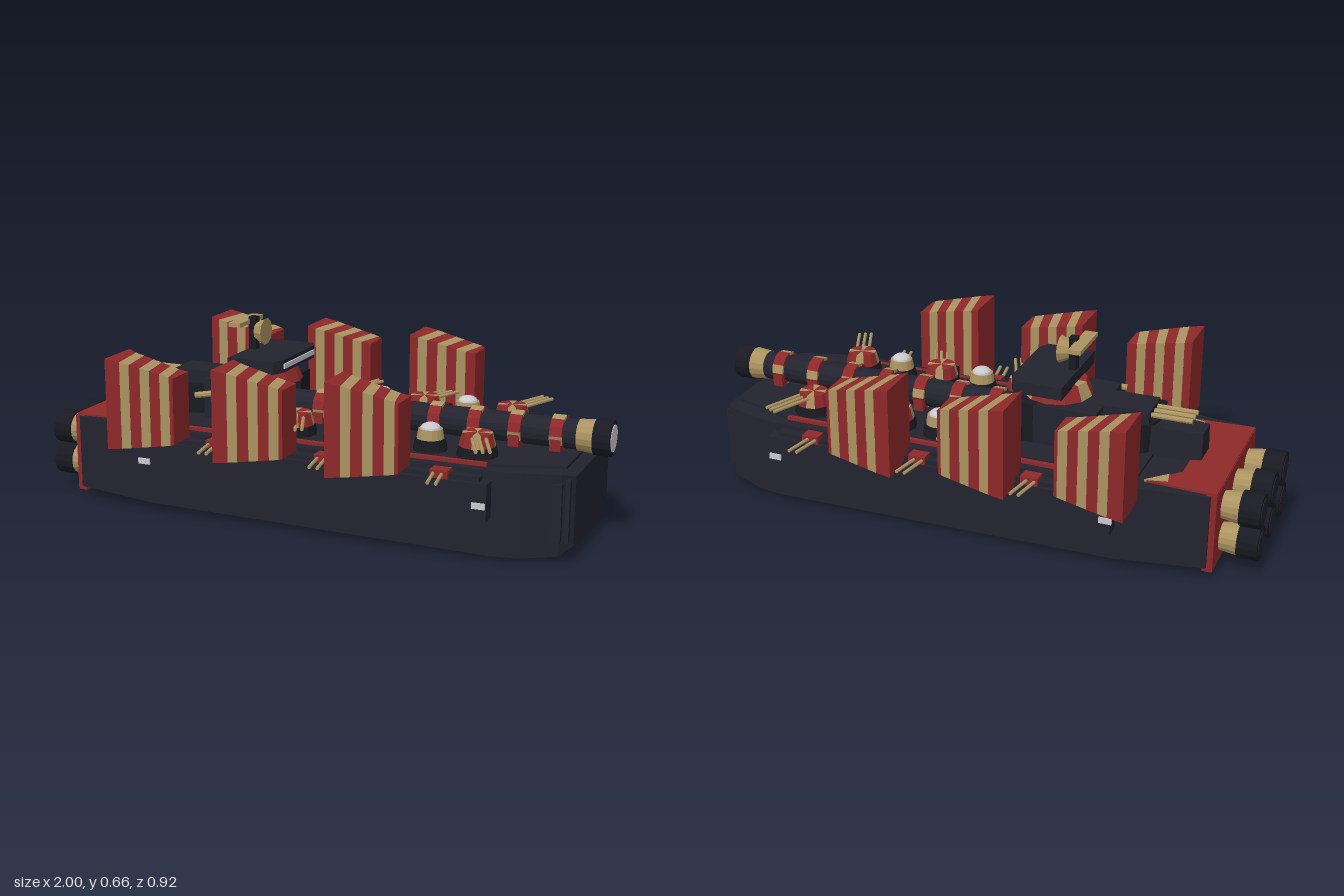
import * as THREE from 'three';

const mat = (name, color) => Object.assign(new THREE.MeshStandardMaterial({ color }), { name });

export function createModel() {
  const navy = mat('hullNavy', 0x22232e), black = mat('darkTrim', 0x191a21);
  const red = mat('red', 0x8e2829), tan = mat('tan', 0xab9361), white = mat('paleGlass', 0xc9c9d0);
  const root = new THREE.Group();
  root.name = 'landCruiser';

  // Faceted mesh from any geometry
  function add(name, geo, material, x = 0, y = 0, z = 0, parent = root) {
    const g = geo.index ? geo.toNonIndexed() : geo;
    g.computeVertexNormals();
    const m = new THREE.Mesh(g, material);
    m.name = name;
    m.position.set(x, y, z);
    parent.add(m);
    return m;
  }
  // Box from its limits
  const box = (name, material, x0, x1, y0, y1, z0, z1, parent = root) =>
    add(name, new THREE.BoxGeometry(x1 - x0, y1 - y0, z1 - z0), material, (x0 + x1) / 2, (y0 + y1) / 2, (z0 + z1) / 2, parent);
  // Cylinder lying along x, from x0 (radius r0) to x1 (radius r1)
  const tubeX = (name, material, x0, x1, r0, r1, y, z, n = 16) =>
    add(name, new THREE.CylinderGeometry(r1, r0, x1 - x0, n).rotateZ(-Math.PI / 2), material, (x0 + x1) / 2, y, z);
  // Thin gun barrel between two points
  function barrel(name, a, b, r = 0.007, parent = root) {
    const p = new THREE.Vector3(...a), q = new THREE.Vector3(...b), d = q.clone().sub(p);
    const m = add(name, new THREE.CylinderGeometry(r, r, d.length(), 8), tan, 0, 0, 0, parent);
    m.position.copy(p).add(q).multiplyScalar(0.5);
    m.quaternion.setFromUnitVectors(new THREE.Vector3(0, 1, 0), d.normalize());
  }
  // Cylinder whose facets alternate red and tan
  function striped(rTop, rBottom, h, n, every = 3) {
    const g = new THREE.CylinderGeometry(rTop, rBottom, h, n);
    g.clearGroups();
    for (let i = 0; i < n; i++) {
      const k = i % every === 0 ? 1 : 0;
      g.addGroup(i * 6, 6, k);
      g.addGroup(n * 6 + i * 3, 3, k);
      g.addGroup(n * 9 + i * 3, 3, k);
    }
    return g;
  }
  // Closed skin over rings of [x, y, z] points
  function loft(rings) {
    const v = [], n = rings[0].length, tri = (...p) => p.forEach(q => v.push(...q));
    for (let s = 0; s + 1 < rings.length; s++) {
      const a = rings[s], b = rings[s + 1];
      for (let i = 0; i < n; i++) {
        const j = (i + 1) % n;
        tri(a[i], a[j], b[j]);
        tri(a[i], b[j], b[i]);
      }
    }
    const first = rings[0], last = rings[rings.length - 1];
    for (let i = 1; i + 1 < n; i++) {
      tri(last[0], last[i], last[i + 1]);
      tri(first[0], first[i + 1], first[i]);
    }
    const g = new THREE.BufferGeometry();
    g.setAttribute('position', new THREE.Float32BufferAttribute(v, 3));
    return g;
  }
  // Flat plate lying on the deck, outline in x and z
  const plate = (name, material, pts, y, h = 0.008) =>
    add(name, new THREE.ExtrudeGeometry(new THREE.Shape(pts.map(p => new THREE.Vector2(...p))),
      { depth: h, bevelEnabled: false }).rotateX(Math.PI / 2), material, 0, y + h, 0);

  // Hull: x, half width, chine height, keel half width, keel height, deck height
  const hull = [
    [-0.85, 0.275, 0.04, 0.17, 0.02, 0.3], [-0.55, 0.312, 0.03, 0.17, 0.012, 0.3],
    [0.69, 0.315, 0.018, 0.17, 0.003, 0.3], [0.78, 0.3, 0.018, 0.165, 0, 0.3],
    [0.9, 0.262, 0.03, 0.15, 0.02, 0.3], [0.935, 0.215, 0.055, 0.14, 0.045, 0.285],
  ];
  add('hull', loft(hull.map(([x, w, yc, wk, yk, yt]) =>
    [[x, yt, w], [x, yc, w], [x, yk, wk], [x, yk, -wk], [x, yc, -w], [x, yt, -w]])), navy);
  plate('raisedDeck', navy, [[-0.6, -0.24], [0.68, -0.27], [0.9, -0.2], [0.9, 0.2], [0.68, 0.27], [-0.6, 0.24]], 0.299, 0.011);
  box('bowStepWide', navy, 0.84, 0.905, 0.08, 0.27, -0.272, 0.272);
  box('bowStepNarrow', navy, 0.88, 0.925, 0.07, 0.28, -0.248, 0.248);

  // Stern armour and deck paint
  box('sternPlate', red, -0.87, -0.835, 0.025, 0.302, -0.268, 0.268);
  plate('sternDeckPaint', red, [[-0.868, -0.262], [-0.63, -0.25], [-0.725, -0.15], [-0.725, 0.15], [-0.63, 0.25], [-0.868, 0.262]], 0.299);
  for (const s of [1, -1])
    plate('sternDeckCorner', tan, [[-0.625, 0.252 * s], [-0.7, 0.235 * s], [-0.69, 0.185 * s]], 0.302);

  // Six engines
  for (const z of [-0.16, 0, 0.16]) for (const y of [0.105, 0.222]) {
    tubeX('engineCollar', tan, -0.935, -0.86, 0.056, 0.046, y, z);
    tubeX('engineNozzle', black, -1, -0.93, 0.06, 0.06, y, z);
    tubeX('engineBore', navy, -1.002, -0.99, 0.044, 0.044, y, z);
  }

  // Spinal cannon with striped clamps
  tubeX('cannonBarrel', navy, -0.16, 0.91, 0.05, 0.05, 0.36, 0);
  tubeX('cannonCollar', tan, 0.885, 0.945, 0.052, 0.058, 0.36, 0);
  tubeX('cannonMuzzle', black, 0.94, 0.998, 0.061, 0.061, 0.36, 0);
  tubeX('cannonLens', white, 0.99, 1, 0.046, 0.046, 0.36, 0);
  for (let i = 0; i < 7; i++) {
    const x = -0.02 + i * 0.14;
    add('cannonClamp', striped(0.061, 0.061, 0.042, 12).rotateZ(-Math.PI / 2), [red, tan], x, 0.36, 0);
    box('cannonCradle', red, x - 0.018, x + 0.018, 0.3, 0.35, -0.06, 0.06);
  }

  // Command tower
  box('towerBase', navy, -0.42, -0.2, 0.3, 0.45, -0.14, 0.14);
  for (const s of [1, -1])
    box('towerShoulder', black, -0.21, -0.14, 0.31, 0.45, s * 0.1 - 0.04, s * 0.1 + 0.04);
  add('towerNeck', striped(0.098, 0.125, 0.06, 12, 4), [red, tan], -0.24, 0.47, 0);
  plate('bridgeHead', navy, [[-0.31, -0.17], [-0.14, -0.168], [-0.12, -0.13], [-0.12, 0.13], [-0.14, 0.168], [-0.31, 0.17]], 0.496, 0.044);
  box('bridgeWindow', white, -0.121, -0.115, 0.509, 0.526, -0.122, 0.122);
  box('mast', black, -0.305, -0.278, 0.53, 0.656, -0.015, 0.015);
  add('sensorDish', new THREE.CylinderGeometry(0.048, 0.03, 0.035, 10).rotateZ(-Math.PI / 2), tan, -0.262, 0.605, 0);
  box('sensorBar', tan, -0.345, -0.3, 0.63, 0.645, -0.09, 0.09);
  // Small flank gun beside the tower
  box('flankGunMount', black, -0.35, -0.3, 0.3, 0.385, 0.16, 0.2);
  box('flankGunBody', tan, -0.345, -0.29, 0.385, 0.415, 0.165, 0.205);
  barrel('flankGunBarrel', [-0.3, 0.42, 0.165], [-0.42, 0.405, 0.205], 0.011);

  // Rear turret with triple barrels
  add('rearBlock', loft([[-0.76, 0.05], [-0.72, 0.062], [-0.4, 0.062]].map(([x, w]) =>
    [[x, 0.4, w * 0.8], [x, 0.3, w], [x, 0.3, -w], [x, 0.4, -w * 0.8]])), navy);
  add('rearTurretRing', new THREE.CylinderGeometry(0.1, 0.105, 0.1, 16), black, -0.5, 0.36, 0);
  box('rearTurretHouse', navy, -0.58, -0.4, 0.405, 0.455, -0.065, 0.065);
  for (const z of [-0.036, 0, 0.036]) barrel('rearTurretBarrel', [-0.56, 0.435, z], [-0.72, 0.435, z], 0.009);

  for (const s of [1, -1]) {
    // Side sponsons, lamps and deck edge stripes
    const zs = (a, b) => (s > 0 ? [a, b] : [-b, -a]);
    box('sponson', navy, -0.55, 0.69, 0.145, 0.27, ...zs(0.29, 0.365));
    box('sponsonRoof', navy, -0.52, 0.66, 0.27, 0.285, ...zs(0.29, 0.35));
    box('deckStripe', red, -0.52, 0.66, 0.3, 0.312, ...zs(0.262, 0.278));
    for (const x of [-0.535, 0.665]) box('sideLamp', white, x - 0.022, x + 0.022, 0.188, 0.208, ...zs(0.364, 0.371));

    // Paired sponson guns
    for (const x of [-0.27, 0.13, 0.53]) {
      box('sponsonGunMount', red, x - 0.03, x + 0.03, 0.27, 0.297, ...zs(0.3, 0.36));
      for (const d of [-0.014, 0.014])
        barrel('sponsonGunBarrel', [x + d - 0.01, 0.284, s * 0.33], [x + d + 0.012, 0.284, s * 0.46], 0.006);
    }

    // Striped armour sails: blocks tapering toward the bow
    for (const x0 of [-0.62, -0.22, 0.18]) {
      const sail = new THREE.Group();
      sail.name = 'sail';
      root.add(sail);
      const cuts = [0, 0.17, 0.31, 0.47, 0.61, 0.76, 0.9, 1];
      const ring = t => {
        const slant = t > 0 && t < 1 ? 0.012 : 0, x = x0 + 0.24 * t;
        const top = 0.57 - 0.052 * t, low = 0.256 + 0.034 * t, out = 0.46 - 0.03 * t, inn = 0.3 + 0.022 * t;
        const r = [[x + slant, top, out * s], [x + slant, low, out * s], [x - slant, low, inn * s], [x - slant, top, inn * s]];
        return s > 0 ? r : r.reverse();
      };
      for (let i = 0; i + 1 < cuts.length; i++)
        add('sailStripe', loft([ring(cuts[i]), ring(cuts[i + 1])]), i % 2 ? tan : red, 0, 0, 0, sail);
      box('sailStrut', black, x0 + 0.08, x0 + 0.16, 0.27, 0.33, ...zs(0.27, 0.34));
    }

    // Deck turrets with triple barrels swung outward and forward
    for (const x of [-0.04, 0.28, 0.6]) {
      const turret = new THREE.Group();
      turret.name = 'deckTurret';
      turret.position.set(x, 0, 0.19 * s);
      root.add(turret);
      add('turretRing', new THREE.CylinderGeometry(0.064, 0.07, 0.035, 12), black, 0, 0.325, 0, turret);
      add('turretBody', striped(0.05, 0.062, 0.045, 12), [red, tan], 0, 0.363, 0, turret);
      for (const d of [-0.02, 0, 0.02])
        barrel('turretBarrel', [d + 0.01, 0.374, s * (0.02 - d * 0.5)], [d + 0.075, 0.374, s * (0.175 - d * 0.5)], 0.006, turret);
    }

    // Sensor domes
    for (const x of [0.12, 0.44]) {
      add('domeBase', new THREE.CylinderGeometry(0.05, 0.058, 0.04, 14), black, x, 0.328, 0.19 * s);
      add('domeCollar', new THREE.CylinderGeometry(0.04, 0.046, 0.035, 14), tan, x, 0.363, 0.19 * s);
      add('dome', new THREE.SphereGeometry(0.034, 14, 5, 0, Math.PI * 2, 0, Math.PI / 2).scale(1, 0.6, 1), white, x, 0.38, 0.19 * s);
    }
  }
  return root;
}
